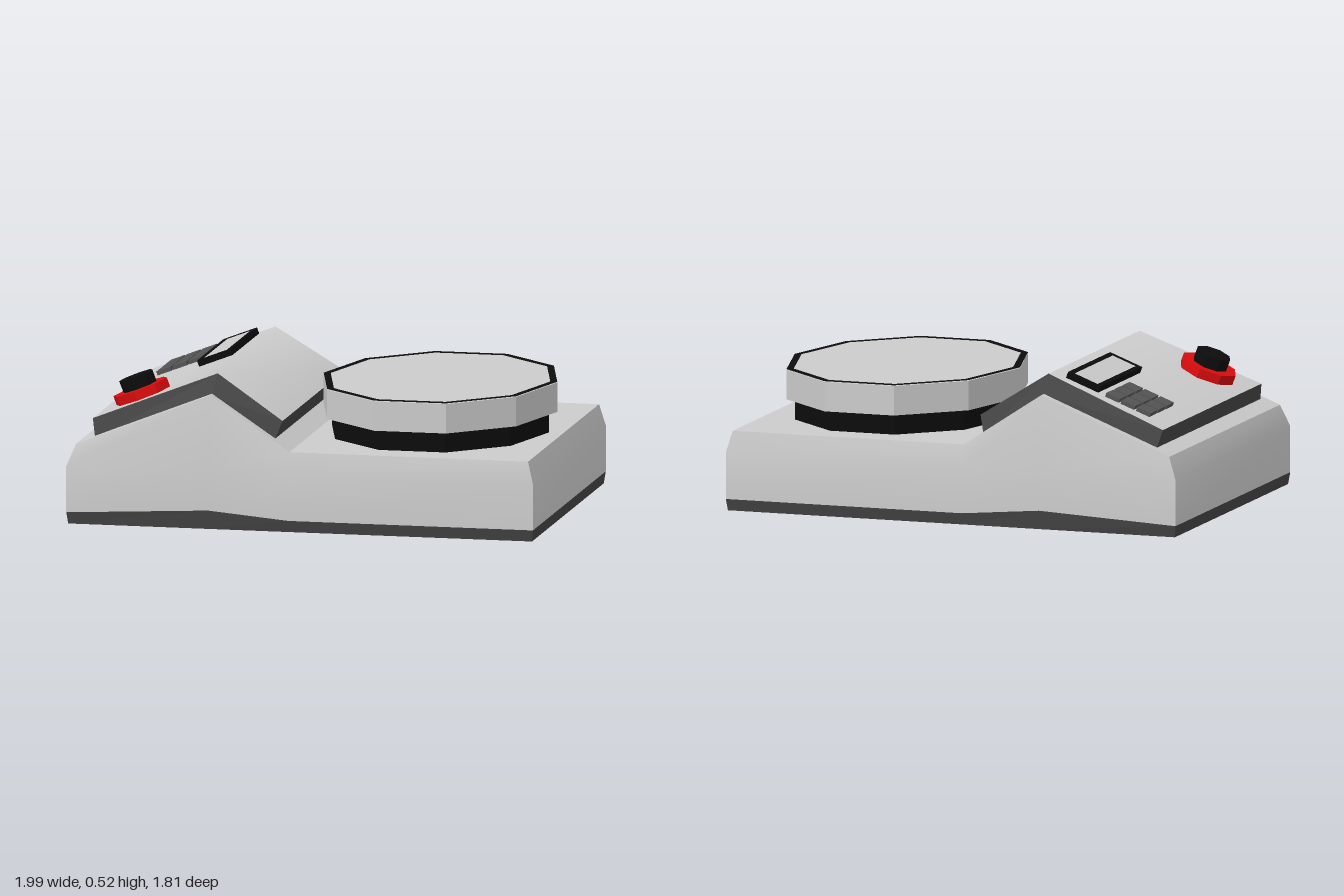
import * as THREE from 'three';
import { toCreasedNormals } from 'three/addons/utils/BufferGeometryUtils.js';

const paint = (color, flatShading = false) =>
  new THREE.MeshStandardMaterial({ color, flatShading });
const grey = paint(0xcccccc), greyFlat = paint(0xcccccc, true);
const dark = paint(0x444444, true), black = paint(0x0c0c0c, true);
const keyGrey = paint(0x555555, true), red = paint(0xdd0c0c, true);

function add(parent, name, geometry, material, x = 0, y = 0, z = 0) {
  const mesh = new THREE.Mesh(geometry, material);
  mesh.name = name;
  mesh.position.set(x, y, z);
  parent.add(mesh);
  return mesh;
}

// Mirrored outline: stations [x, y, halfWidth] run down one side and back up the other
const outline = (stations) => [
  ...stations.map(([x, y, w]) => [x, y, w]),
  ...stations.map(([x, y, w]) => [x, y, -w]).reverse(),
];

// Skin between stacked outlines, with optional caps
function loft(layers, { top = false, bottom = false, crease = 0.5 }) {
  const rings = layers.map(outline), n = rings[0].length, pos = [];
  const quad = (a, b, c, d) => pos.push(...a, ...b, ...c, ...a, ...c, ...d);
  for (let r = 0; r + 1 < rings.length; r++)
    for (let k = 0; k < n; k++) {
      const j = (k + 1) % n;
      quad(rings[r][k], rings[r][j], rings[r + 1][j], rings[r + 1][k]);
    }
  const lo = rings[0], hi = rings[rings.length - 1];
  for (let i = 0; i + 1 < n / 2; i++) {
    const m = n - 1 - i;
    if (top) quad(hi[i], hi[i + 1], hi[m - 1], hi[m]);
    if (bottom) quad(lo[m], lo[m - 1], lo[i + 1], lo[i]);
  }
  const g = new THREE.BufferGeometry();
  g.setAttribute('position', new THREE.Float32BufferAttribute(pos, 3));
  return toCreasedNormals(g, crease);
}

// Rectangular ring lying flat, with thickness upward
function frameGeometry(w, d, border, h) {
  const rect = (C, a, b) => new C([[-a, -b], [a, -b], [a, b], [-a, b]]
    .map(([x, y]) => new THREE.Vector2(x, y)));
  const s = rect(THREE.Shape, w / 2, d / 2);
  s.holes.push(rect(THREE.Path, w / 2 - border, d / 2 - border));
  return new THREE.ExtrudeGeometry(s, { depth: h, bevelEnabled: false }).rotateX(-Math.PI / 2);
}

export function createModel() {
  const model = new THREE.Group();
  const scale = new THREE.Group();
  scale.name = 'weighingScale';
  scale.rotation.y = -0.513;
  model.add(scale);

  // Housing: dark foot, then walls leaning in to a ridged top
  const seam = [[-0.815, 0.04, 0.58], [-0.32, 0.065, 0.58], [-0.04, 0.04, 0.58], [0.815, 0.04, 0.58]];
  const floor = [[-0.81, 0, 0.572], [-0.32, 0, 0.572], [-0.04, 0, 0.572], [0.81, 0, 0.572]];
  const waist = seam.map(([x, , w]) => [x, 0.2, w]);
  const deck = [[-0.785, 0.275, 0.56], [-0.318, 0.46, 0.556], [-0.04, 0.275, 0.56], [0.795, 0.275, 0.565]];
  add(scale, 'foot', loft([floor, seam], { bottom: true }), dark);
  add(scale, 'housing', loft([seam, waist, deck], { top: true }), grey);

  // Console: dark bevelled rim with a smooth grey cover over the ridge
  const rim = [[-0.726, 0.29, 0.525], [-0.318, 0.455, 0.525], [-0.1, 0.305, 0.525]];
  const cover = [[-0.74, 0.355, 0.498], [-0.312, 0.52, 0.46], [-0.078, 0.37, 0.495]];
  add(scale, 'consoleRim', loft([rim, cover], {}), dark);
  add(scale, 'consoleCover', loft([cover], { top: true, crease: 1.2 }), grey);

  // Controls lie on the sloping panel; x runs up the slope
  const panel = new THREE.Group();
  panel.name = 'controlPanel';
  panel.position.set(-0.74, 0.355, 0);
  panel.rotation.z = Math.atan2(0.165, 0.428);
  scale.add(panel);
  for (let i = -1; i <= 1; i++)
    for (let j = -1; j <= 1; j++)
      add(panel, 'key', new THREE.BoxGeometry(0.052, 0.016, 0.07), keyGrey,
        0.167 + i * 0.06, 0.006, -0.307 + j * 0.083);
  add(panel, 'displayFrame', frameGeometry(0.125, 0.425, 0.017, 0.022), black, 0.345, 0, -0.205);
  add(panel, 'displayWindow', new THREE.BoxGeometry(0.1, 0.02, 0.4), greyFlat, 0.345, 0.01, -0.205);
  add(panel, 'buttonCollar', new THREE.CylinderGeometry(0.1, 0.1, 0.034, 8), red, 0.152, 0.016, 0.339);
  add(panel, 'button', new THREE.CylinderGeometry(0.062, 0.062, 0.05, 8), black, 0.152, 0.05, 0.339);

  // Weighing platform: ten-sided ovals
  const oval = (k, h) => new THREE.CylinderGeometry(1, 1, h, 10, 1, false, Math.PI / 2)
    .scale(0.408 * k, 1, 0.512 * k);
  add(scale, 'platformSupport', oval(0.93, 0.085), black, 0.365, 0.308, 0);
  add(scale, 'platform', oval(1, 0.102), greyFlat, 0.365, 0.398, 0);
  const ring = new THREE.RingGeometry(0.94, 1, 10).rotateX(-Math.PI / 2).scale(0.408, 1, 0.512);
  add(scale, 'platformRim', ring, black, 0.365, 0.4515, 0);

  return model;
}
